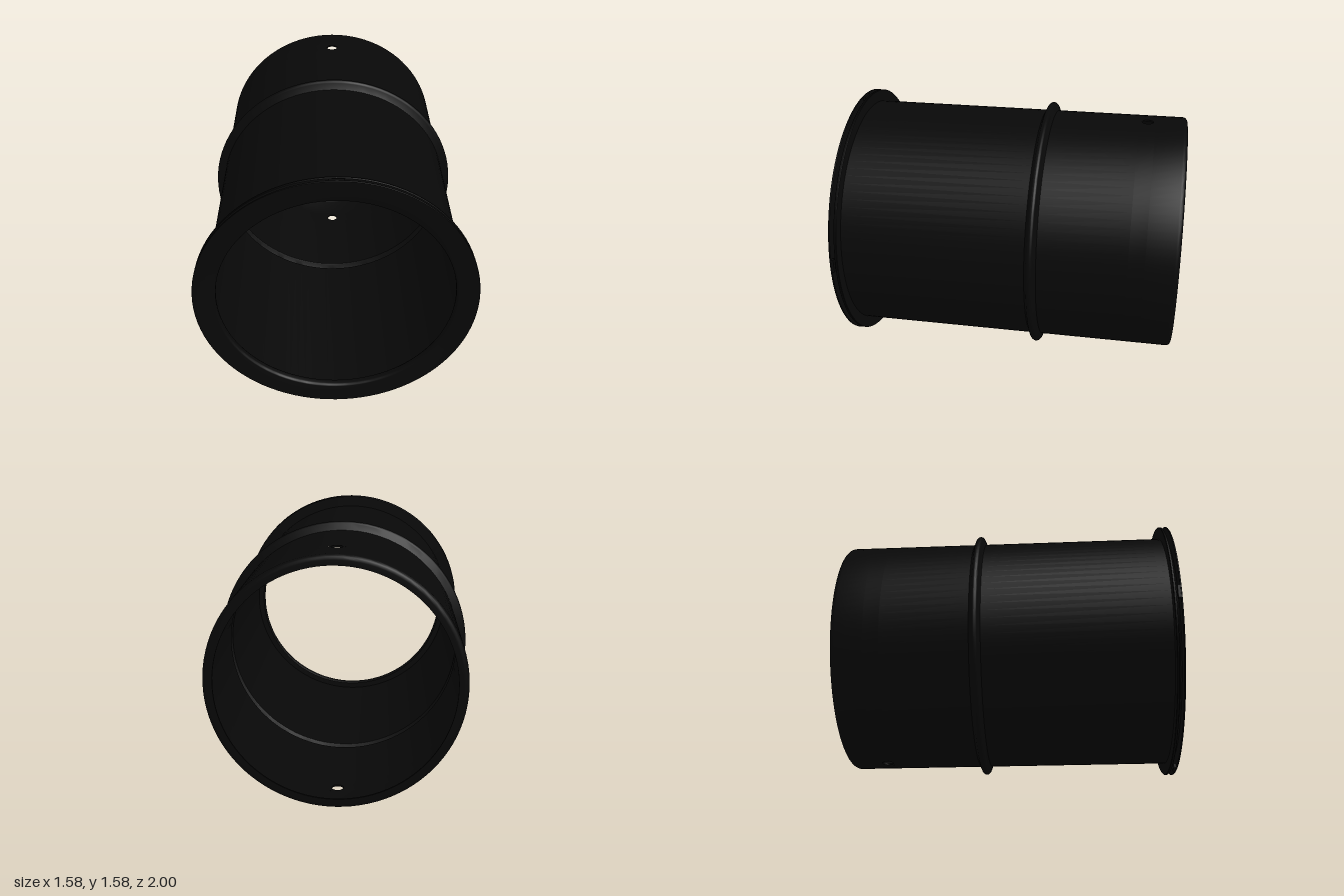
import * as THREE from 'three';
import { toCreasedNormals } from 'three/addons/utils/BufferGeometryUtils.js';

const R = 0.716, INNER = 0.706;         // thin wall radii
const SEGMENTS = 96;
const HOLE_Z = -0.763, HOLE_R = 0.034;  // drilled cross holes
const HALF = 0.0467;                    // half size of the plate around a hole
const STEP = 2 * Math.PI / SEGMENTS;

export function createModel() {
  const black = new THREE.MeshStandardMaterial({ color: 0x080808 });
  black.name = 'black';
  const model = new THREE.Group();
  model.name = 'flangedSleeve';
  const tube = new THREE.Group();
  tube.position.y = 0.79;
  model.add(tube);

  function add(name, geometry) {
    const mesh = new THREE.Mesh(geometry, black);
    mesh.name = name;
    tube.add(mesh);
    return mesh;
  }

  // Revolves a [radius, z] profile around the z axis; angle 0 is at the bottom
  function revolve(name, profile, start = 0, length = Math.PI * 2) {
    const points = profile.map(([r, z]) => new THREE.Vector2(r, z));
    const geometry = new THREE.LatheGeometry(points, Math.round(length / STEP), start, length);
    geometry.rotateX(Math.PI / 2);
    add(name, toCreasedNormals(geometry, 0.6));
  }

  // Points on an arc of a profile, from angle a to angle b
  function arc(r, z, radius, a, b, steps = 5) {
    return Array.from({ length: steps + 1 }, (_, i) => {
      const t = a + (b - a) * i / steps;
      return [r + radius * Math.cos(t), z + radius * Math.sin(t)];
    });
  }

  const bandBack = HOLE_Z - HALF, bandFront = HOLE_Z + HALF;

  // Rear rim, rounded over into a narrow inward lip
  revolve('rearRim', [
    [INNER, bandBack],
    ...arc(R - 0.028, -0.972, 0.018, 0, -Math.PI / 2),
    [0.659, -0.99],
    [0.659, -1],
    ...arc(R - 0.028, -0.972, 0.028, -Math.PI / 2, 0),
    [R, bandBack],
  ]);

  // Wall between the two holes, one arc per side
  for (const [name, start] of [['leftHoleBand', 0], ['rightHoleBand', Math.PI]]) {
    const length = Math.PI - 2 * STEP;
    revolve(name + 'Outside', [[R, bandBack], [R, bandFront]], start + STEP, length);
    revolve(name + 'Inside', [[INNER, bandFront], [INNER, bandBack]], start + STEP, length);
  }

  // Outside of the main wall with its bead
  const beadZ = -0.167;
  revolve('outerWall', [
    [R, bandFront],
    [R, beadZ - 0.034],
    [R + 0.006, beadZ - 0.03],
    ...arc(0.747, beadZ, 0.019, -Math.PI / 2 + 0.25, Math.PI / 2 - 0.25, 8),
    [R + 0.006, beadZ + 0.03],
    [R, beadZ + 0.034],
    [R, 0.953],
  ]);

  // Inside of the main wall with the hollow of the bead
  revolve('innerWall', [
    [INNER, 0.95],
    [INNER, beadZ + 0.026],
    [INNER + 0.006, beadZ + 0.022],
    ...arc(0.745, beadZ, 0.011, Math.PI / 2 - 0.25, -Math.PI / 2 + 0.25, 8),
    [INNER + 0.006, beadZ - 0.022],
    [INNER, beadZ - 0.026],
    [INNER, bandFront],
  ]);

  // Front flange: rear ring, groove, front ring and inner collar
  revolve('frontFlange', [
    [R, 0.953],
    [0.785, 0.953], [0.788, 0.956], [0.788, 0.965], [0.785, 0.968],
    [0.715, 0.968], [0.695, 0.973],
    [0.695, 0.985], [0.705, 0.992],
    [0.787, 0.992], [0.789, 0.994], [0.789, 0.998], [0.787, 1],
    [0.674, 1], [0.668, 0.997], [0.664, 0.991], [0.662, 0.984],
    [0.662, 0.965], [0.67, 0.952], [INNER, 0.95],
  ]);

  // Small tabs behind the front ring at the four quarter points
  for (let i = 0; i < 4; i++) {
    const angle = i * Math.PI / 2;
    const tab = add('flangeTab', new THREE.BoxGeometry(0.024, 0.08, 0.016));
    tab.position.set(0.776 * Math.cos(angle), 0.776 * Math.sin(angle), 0.985);
    tab.rotation.z = angle;
  }

  // Curved wall plates pierced by the top and bottom holes
  const outline = new THREE.Shape();
  outline.moveTo(-HALF, -HALF).lineTo(0, -HALF).lineTo(HALF, -HALF)
    .lineTo(HALF, HALF).lineTo(0, HALF).lineTo(-HALF, HALF).closePath();
  const hole = new THREE.Path();
  hole.absarc(0, 0, HOLE_R, 0, Math.PI * 2, true);
  outline.holes.push(hole);
  const plate = new THREE.ExtrudeGeometry(outline, { depth: 1, bevelEnabled: false, curveSegments: 20 });
  plate.rotateX(-Math.PI / 2);
  const pos = plate.attributes.position, normal = plate.attributes.normal;
  for (let i = 0; i < pos.count; i++) {
    const x = pos.getX(i), r = pos.getY(i) > 0.5 ? R : INNER;
    const y = Math.sqrt(r * r - x * x);
    pos.setY(i, y);
    const ny = normal.getY(i);
    if (Math.abs(ny) > 0.5) normal.setXYZ(i, Math.sign(ny) * x / r, Math.sign(ny) * y / r, 0);
  }
  for (const [name, turn] of [['topHole', 0], ['bottomHole', Math.PI]]) {
    const mesh = add(name, plate);
    mesh.position.z = HOLE_Z;
    mesh.rotation.z = turn;
  }

  return model;
}
